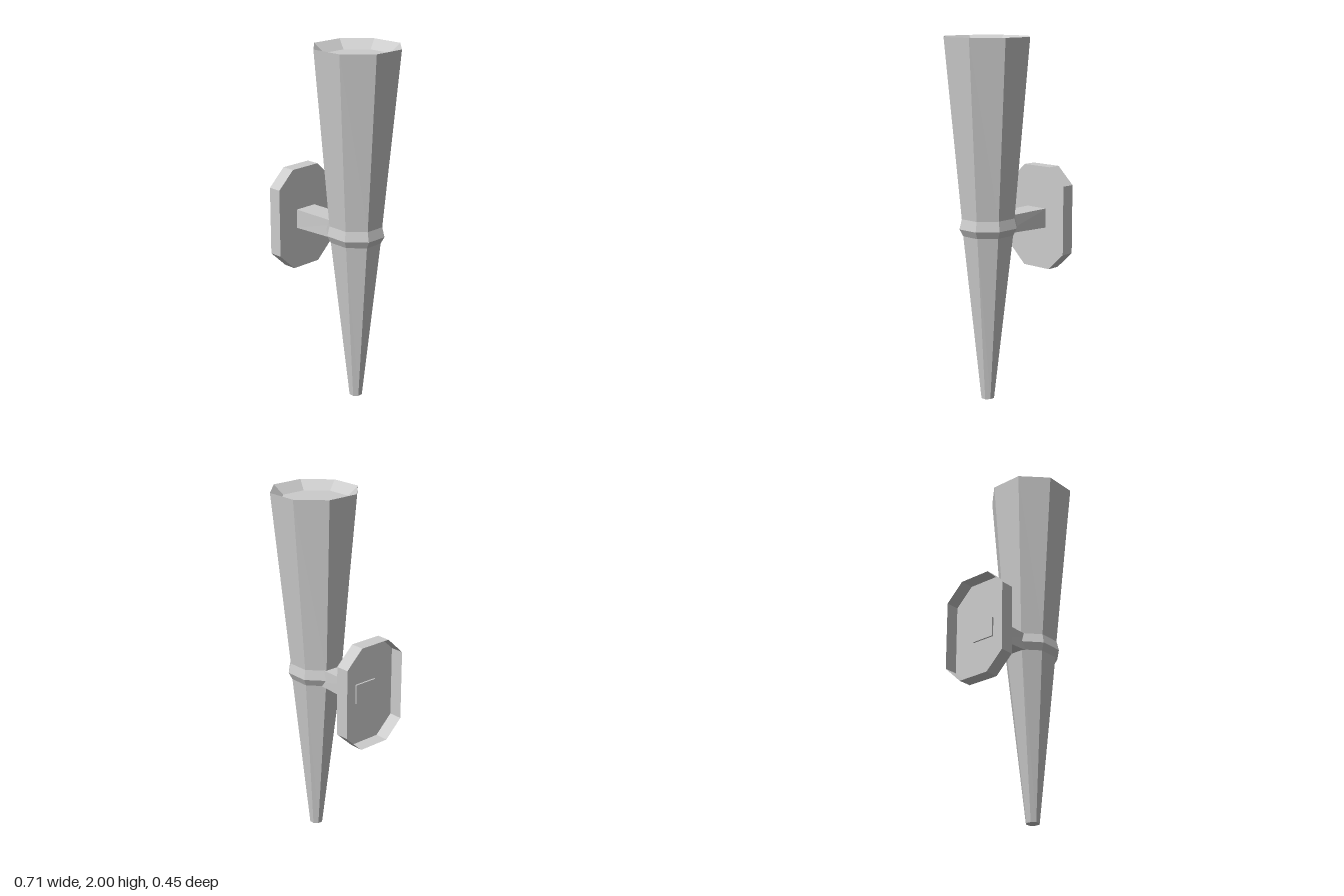
import * as THREE from 'three';

const material = new THREE.MeshStandardMaterial({ color: 0xcccccc, flatShading: true });
const thinMaterial = material.clone();
thinMaterial.side = THREE.DoubleSide;

// Eight-sided lathe with flats facing the axes; radii are measured to the flats
function octagonLathe(profile) {
  const points = profile.map(([r, y]) => new THREE.Vector2(r / Math.cos(Math.PI / 8), y));
  return new THREE.LatheGeometry(points, 8, Math.PI / 8);
}

// Move every vertex by a rule
function reshape(geometry, rule) {
  const pos = geometry.attributes.position;
  const v = new THREE.Vector3();
  for (let i = 0; i < pos.count; i++) {
    rule(v.fromBufferAttribute(pos, i));
    pos.setXYZ(i, v.x, v.y, v.z);
  }
  geometry.computeVertexNormals();
  return geometry;
}

export function createModel() {
  const model = new THREE.Group();
  const add = (name, geometry, mat = material) => {
    const mesh = new THREE.Mesh(geometry, mat);
    mesh.name = name;
    model.add(mesh);
    return mesh;
  };

  // Tapered torch body with collar and recessed top
  const body = octagonLathe([
    [0, 0], [0.035, 0], [0.129, 0.935], [0.148, 0.975], [0.136, 1.03],
    [0.225, 2], [0.173, 1.95], [0, 1.95],
  ]);
  reshape(body, (v) => {
    // The collar is slightly wider along x and sits nearer the wall
    if (v.y > 0.9 && v.y < 1.1) v.x = v.x * 1.09 - 0.01;
  });
  add('torchBody', body).position.x = 0.128;

  // Wall plate: chamfered shell, open at the back
  const plate = octagonLathe([[0.924, -0.039], [0.924, 0.039], [0, 0.039]]);
  reshape(plate, (v) => {
    if (Math.hypot(v.x, v.z) < 0.1) return;
    v.x = Math.sign(v.x) * (Math.abs(v.x) > 0.6 ? 0.293 : 0.195);
    v.z = Math.sign(v.z) * (Math.abs(v.z) > 0.6 ? 0.198 : 0.094);
  });
  plate.rotateZ(-Math.PI / 2);
  add('wallPlate', plate, thinMaterial).position.set(-0.314, 0.975, 0);

  // Arm between plate and torch, its underside rising slightly
  const arm = new THREE.BoxGeometry(0.36, 0.11, 0.136);
  reshape(arm, (v) => {
    if (v.x > 0 && v.y < 0) v.y += 0.015;
    if (v.x > 0 && v.y > 0) v.z *= 0.96;
  });
  add('arm', arm).position.set(-0.105, 0.975, 0);

  return model;
}
